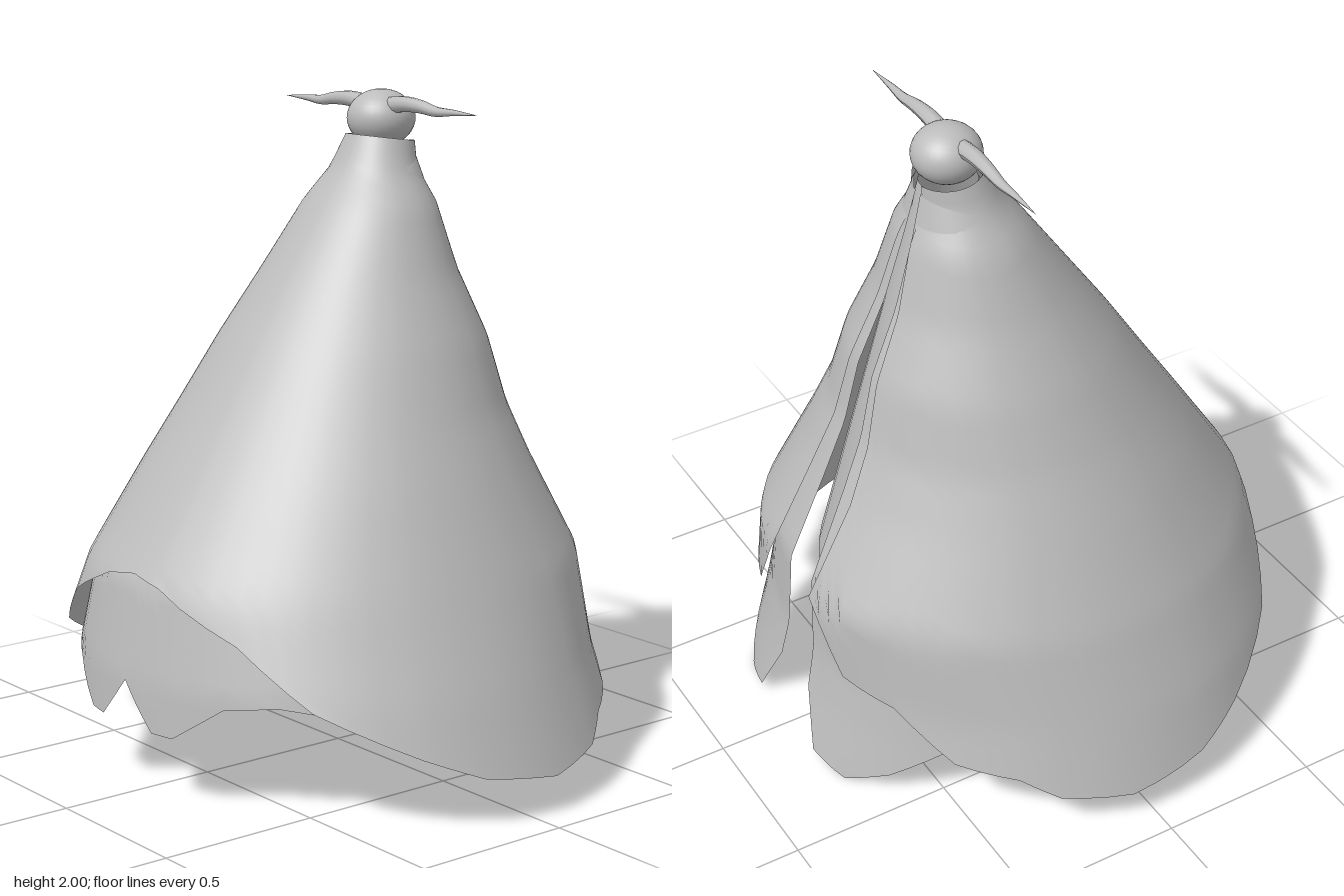
import * as THREE from 'three';

const grey = new THREE.MeshStandardMaterial({ color: 0xbcbcbc, side: THREE.DoubleSide });
grey.name = 'grey';

const RAD = Math.PI / 180;
const SLIT_Z = -0.022;

// Linear lookup in rows sorted by descending first column
function sample(rows, y) {
  let i = 0;
  while (i < rows.length - 2 && y < rows[i + 1][0]) i++;
  const a = rows[i], b = rows[i + 1];
  const t = THREE.MathUtils.clamp((a[0] - y) / (a[0] - b[0]), 0, 1);
  return a.map((v, k) => THREE.MathUtils.lerp(v, b[k], t));
}

// Sections: [y, centre x, radius x, radius z, half width of the slit]
const outerSections = [
  [1.87, 0.18, 0.10, 0.105, 0.018],
  [1.77, 0.155, 0.125, 0.14, 0.025],
  [1.67, 0.14, 0.19, 0.215, 0.035],
  [1.47, 0.10, 0.29, 0.305, 0.06],
  [1.27, 0.075, 0.405, 0.41, 0.08],
  [1.07, 0.035, 0.495, 0.50, 0.10],
  [0.90, 0.017, 0.59, 0.585, 0.12],
  [0.62, 0.002, 0.758, 0.718, 0.125],
  [0.35, -0.04, 0.80, 0.83, 0.125],
  [0.11, -0.04, 0.85, 0.918, 0.125],
];
const underSections = [
  [1.84, 0.18, 0.092, 0.098, 0.012],
  [1.67, 0.137, 0.18, 0.204, 0.022],
  [1.47, 0.098, 0.281, 0.296, 0.031],
  [1.27, 0.073, 0.395, 0.40, 0.04],
  [1.07, 0.033, 0.484, 0.489, 0.048],
  [0.90, 0.012, 0.575, 0.57, 0.055],
  [0.62, -0.01, 0.72, 0.69, 0.065],
  [0.35, -0.03, 0.75, 0.765, 0.078],
  [0.20, -0.02, 0.77, 0.785, 0.088],
  [0.01, 0.0, 0.80, 0.80, 0.10],
];

// Hems: [degrees from the slit, height], mirrored to the other half
const outerHem = [[9.7, 0.62], [20, 0.39], [33, 0.36], [47, 0.23], [60, 0.2], [68, 0.14], [83, 0.11],
  [100, 0.15], [112, 0.22], [132, 0.35], [148, 0.51], [170, 0.63], [180, 0.65]];
const underHem = [[6.5, 0.22], [12, 0.03], [22, 0.0], [33, 0.08], [45, 0.21], [56, 0.23], [85, 0.25],
  [115, 0.3], [140, 0.34], [152, 0.32], [165, 0.21], [171, 0.21], [176, 0.28], [180, 0.34]];

// Slit cloak: columns run from the collar down to a shaped hem
function cloak(name, sections, hem) {
  const cols = [];
  const split = 3, rows = 44;
  for (let i = 0; i < hem.length - 1; i++) {
    for (let s = 0; s < split; s++) {
      const t = s / split;
      cols.push(hem[i].map((v, k) => THREE.MathUtils.lerp(v, hem[i + 1][k], t)));
    }
  }
  const back = cols.slice().reverse().map(([a, h]) => [360 - a, h]);
  cols.push(hem[hem.length - 1], ...back);

  const start = hem[0][0];
  const positions = [], index = [];
  cols.forEach(([deg, low], c) => {
    const u = (deg - start) / (360 - 2 * start);
    const top = sections[0][0] - 0.013 * (1 + Math.cos(deg * RAD));
    for (let r = 0; r <= rows; r++) {
      const y = THREE.MathUtils.lerp(top, low, r / rows);
      const [, cx, rx, rz, gap] = sample(sections, y);
      const open = Math.asin(gap / rz);
      const angle = open + u * (2 * Math.PI - 2 * open);
      const cz = SLIT_Z * THREE.MathUtils.clamp(y / 0.6, 0, 1);
      positions.push(cx + rx * Math.cos(angle), y, cz + rz * Math.sin(angle));
      if (c < cols.length - 1 && r < rows) {
        const a = c * (rows + 1) + r, b = a + rows + 1;
        index.push(a, b, a + 1, b, b + 1, a + 1);
      }
    }
  });
  const geometry = new THREE.BufferGeometry();
  geometry.setAttribute('position', new THREE.Float32BufferAttribute(positions, 3));
  geometry.setIndex(index);
  geometry.computeVertexNormals();
  return part(name, geometry);
}

function part(name, geometry) {
  const mesh = new THREE.Mesh(geometry, grey);
  mesh.name = name;
  return mesh;
}

// Open cone inside the cloak, leaning towards the slit at its top
function innerBody() {
  const geometry = new THREE.CylinderGeometry(0.085, 0.58, 1.4, 48, 8, true);
  const p = geometry.attributes.position;
  for (let i = 0; i < p.count; i++) {
    const t = p.getY(i) / 1.4 + 0.5;
    p.setX(i, p.getX(i) + THREE.MathUtils.lerp(0, 0.18, t));
  }
  geometry.translate(0, 1.13, SLIT_Z);
  geometry.computeVertexNormals();
  return part('innerBody', geometry);
}

// Wavy horn that tapers to a point
function horn(name, side, tip) {
  const points = [[0.06, 1.955], [0.13, 1.963], [0.2, 1.96], [0.27, 1.95], [0.34, 1.952], [tip, 1.952]]
    .map(([z, y]) => new THREE.Vector3(0.17, y, SLIT_Z + side * z));
  const curve = new THREE.CatmullRomCurve3(points);
  const segments = 20, sides = 10;
  const geometry = new THREE.TubeGeometry(curve, segments, 0.026, sides, false);
  const p = geometry.attributes.position, v = new THREE.Vector3();
  for (let i = 0; i < p.count; i++) {
    const t = Math.floor(i / (sides + 1)) / segments;
    const centre = curve.getPointAt(t);
    v.fromBufferAttribute(p, i).sub(centre).multiplyScalar(Math.max(0.01, 1 - Math.pow(t, 1.4))).add(centre);
    p.setXYZ(i, v.x, v.y, v.z);
  }
  geometry.computeVertexNormals();
  return part(name, geometry);
}

export function createModel() {
  const model = new THREE.Group();
  model.name = 'cloakedFigure';

  // Clothing layers
  model.add(cloak('outerCloak', outerSections, outerHem));
  model.add(cloak('underCloak', underSections, underHem));
  model.add(innerBody());

  // Head and horns
  const head = part('head', new THREE.SphereGeometry(0.104, 32, 20));
  head.scale.y = 0.83;
  head.position.set(0.184, 1.914, SLIT_Z);
  model.add(head);
  model.add(horn('leftHorn', 1, 0.452));
  model.add(horn('rightHorn', -1, 0.452));
  return model;
}
